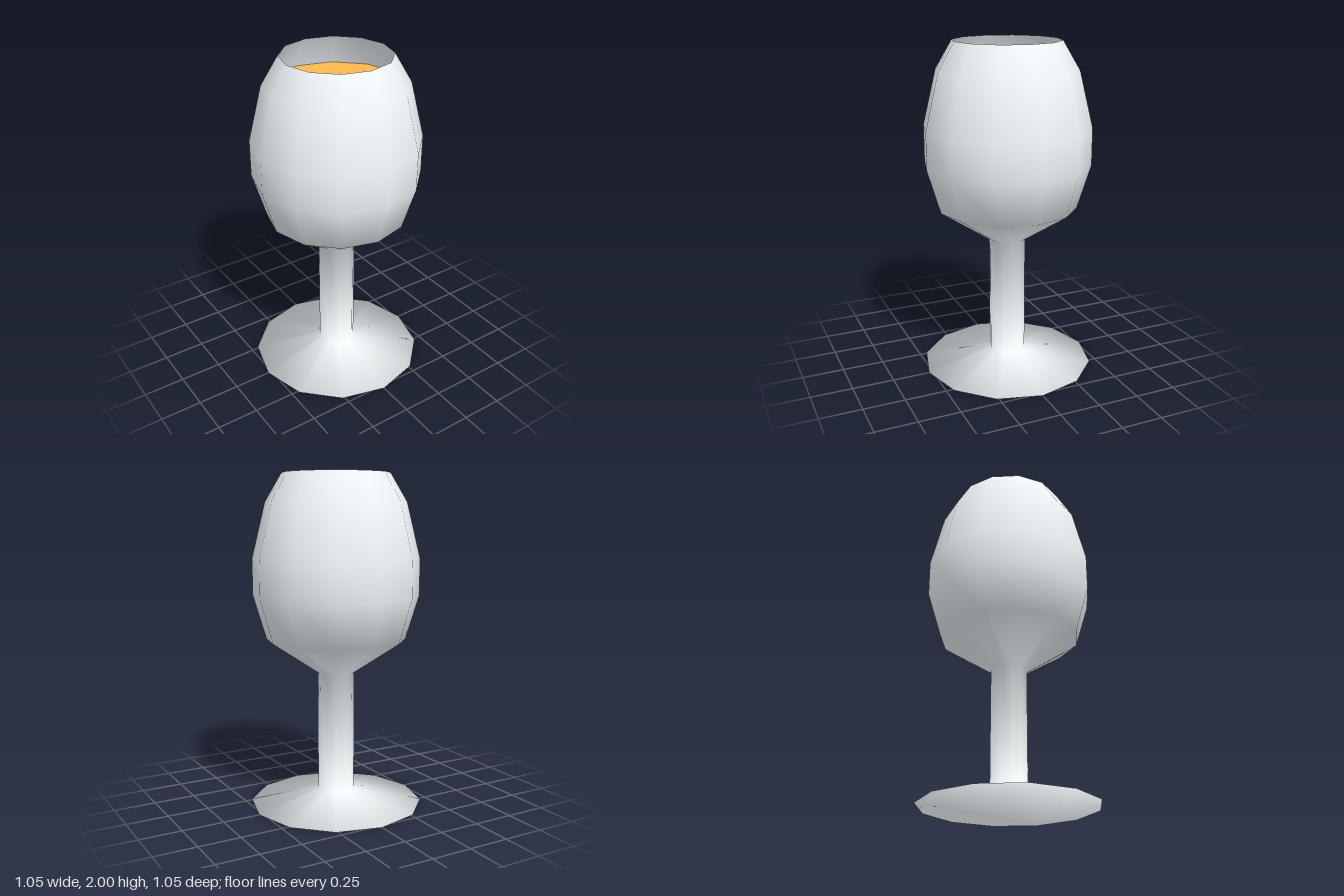
import * as THREE from 'three';

const SIDES = 12;

// Revolve a [radius, height] profile, with evenly averaged smooth normals.
// firstNormal is the [outward, up] normal of the lowest ring.
function revolve(name, profile, firstNormal, material) {
  const points = profile.map(([r, y]) => new THREE.Vector2(r, y));
  const geometry = new THREE.LatheGeometry(points, SIDES);
  const slopes = points.slice(1).map((p, i) =>
    new THREE.Vector2(p.y - points[i].y, points[i].x - p.x).normalize());
  const rings = points.map((p, i) => {
    if (i === 0) return new THREE.Vector2(...firstNormal);
    const n = slopes[i - 1].clone();
    return (i < slopes.length ? n.add(slopes[i]) : n).normalize();
  });
  const { position, normal } = geometry.attributes;
  for (let i = 0; i < position.count; i++) {
    const j = i % points.length;
    const { x: r } = points[j];
    const n = rings[j];
    normal.setXYZ(i, n.x * position.getX(i) / r, n.y, n.x * position.getZ(i) / r);
  }
  const mesh = new THREE.Mesh(geometry, material);
  mesh.name = name;
  return mesh;
}

// Flat polygon facing up (1) or down (-1), its edge normals [outward, up]
// blending smoothly across the face.
function disc(name, radius, y, facing, edgeNormal, material) {
  const corners = Array.from({ length: SIDES }, (_, k) => {
    const a = k / SIDES * Math.PI * 2;
    return new THREE.Vector2(Math.cos(a) * radius, Math.sin(a) * radius);
  });
  const geometry = new THREE.ShapeGeometry(new THREE.Shape(corners));
  geometry.rotateX(-facing * Math.PI / 2).translate(0, y, 0);
  const { position, normal } = geometry.attributes;
  const [out, up] = edgeNormal;
  for (let i = 0; i < position.count; i++) {
    normal.setXYZ(i, out * position.getX(i) / radius, up, out * position.getZ(i) / radius);
  }
  geometry.normalizeNormals();
  const mesh = new THREE.Mesh(geometry, material);
  mesh.name = name;
  return mesh;
}

export function createModel() {
  const model = new THREE.Group();
  model.name = 'wineGlass';

  const glass = new THREE.MeshStandardMaterial({ color: 0xf1f7fa, side: THREE.DoubleSide });
  const drink = new THREE.MeshStandardMaterial({ color: 0xfdb44e, side: THREE.DoubleSide });

  // The foot's sharp rim is shaded as rounded
  const rimNormal = [1, -0.02];

  // Foot, stem and open thin-walled bowl in one smooth profile
  model.add(revolve('glass', [
    [0.525, 0],                     // foot
    [0.11, 0.085], [0.11, 0.81],    // stem
    [0.42, 1.015], [0.5, 1.28], [0.5, 1.5], [0.42, 1.83], [0.32, 2], // bowl
  ], rimNormal, glass));
  model.add(disc('footUnderside', 0.525, 0, -1, rimNormal, glass));

  // Drink just below the shoulder of the bowl, shaded as slightly hollow
  model.add(disc('drinkSurface', 0.42, 1.81, 1, [-0.45, 1], drink));

  return model;
}
